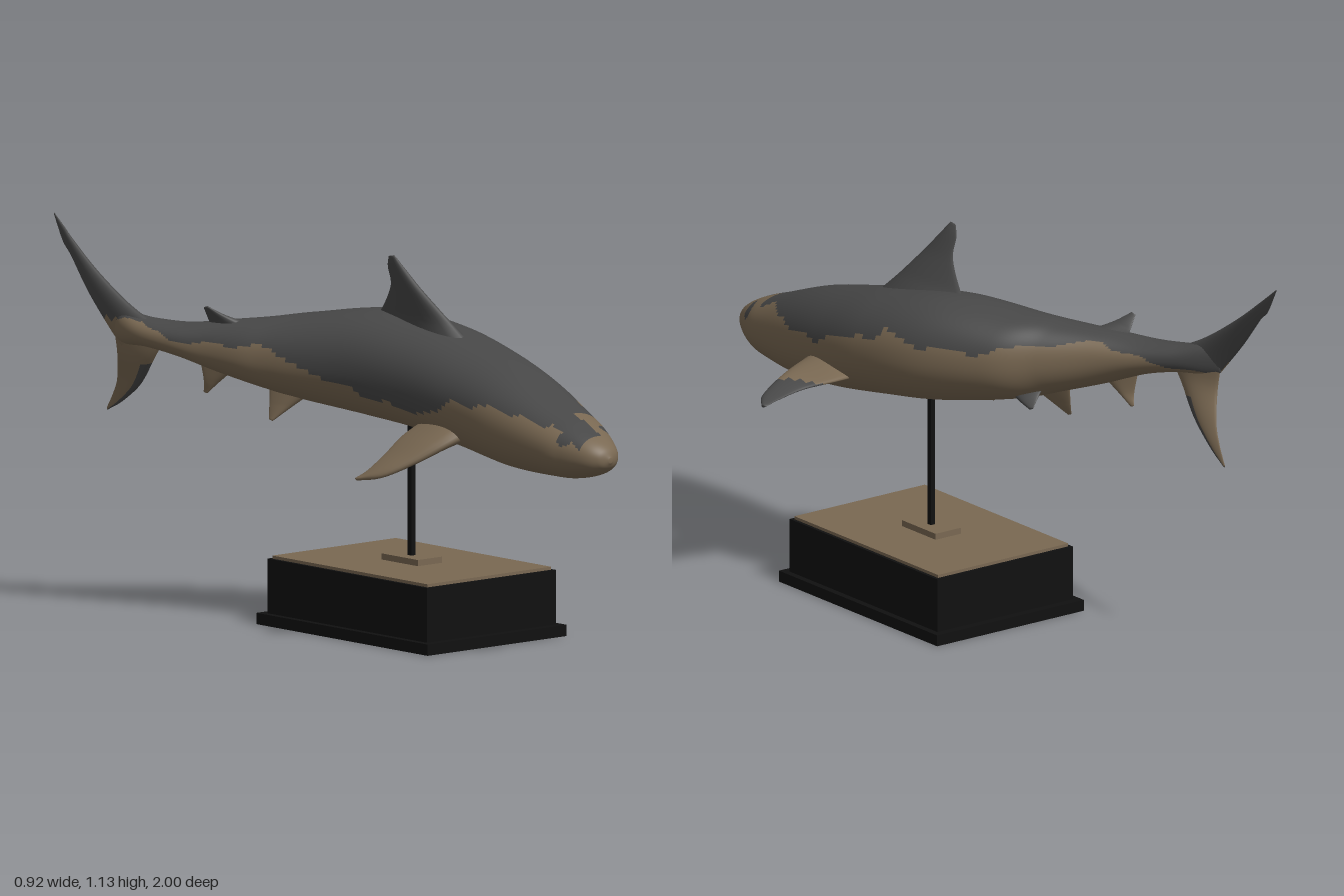
import * as THREE from 'three';

const V = (x, y, z) => new THREE.Vector3(x, y, z);
const makeMat = (name, color) => {
  const m = new THREE.MeshStandardMaterial({ color });
  m.name = name;
  return m;
};

// Skin a list of rings; pick(centre, ringIndex, pointIndex) is 0 or 1 for the material
function loft(name, rings, mats, pick) {
  const n = rings[0].length, pts = rings.flat(), faces = [[], []];
  let volume = 0;
  for (let i = 0; i < rings.length - 1; i++) {
    for (let j = 0; j < n; j++) {
      const k = (j + 1) % n;
      const a = i * n + j, b = a + n, c = i * n + k, d = c + n;
      const mid = V(0, 0, 0).add(pts[a]).add(pts[b]).add(pts[c]).add(pts[d]).divideScalar(4);
      faces[pick(mid, i, j)].push([a, b, c], [c, b, d]);
    }
  }
  const origin = pts[0];
  for (const [a, b, c] of faces.flat()) {
    const p = pts[a].clone().sub(origin), q = pts[b].clone().sub(origin), r = pts[c].clone().sub(origin);
    volume += p.dot(q.cross(r));
  }
  // Turn the faces outward
  const index = faces.map(f => f.flatMap(([a, b, c]) => (volume < 0 ? [a, c, b] : [a, b, c])));
  const geo = new THREE.BufferGeometry().setFromPoints(pts);
  geo.setIndex(index.flat());
  geo.addGroup(0, index[0].length, 0);
  geo.addGroup(index[0].length, index[1].length, 1);
  geo.computeVertexNormals();
  const mesh = new THREE.Mesh(geo, mats);
  mesh.name = name;
  return mesh;
}

// Fin from sections [leading xyz, trailing xyz, thickness], root to tip
function fin(name, sections, mats, pick) {
  const lead = new THREE.CatmullRomCurve3(sections.map(s => V(s[0], s[1], s[2])), false, 'catmullrom');
  const trail = new THREE.CatmullRomCurve3(sections.map(s => V(s[3], s[4], s[5])), false, 'catmullrom');
  const first = sections[0], last = sections[sections.length - 1];
  const chord = V(first[3] - first[0], first[4] - first[1], first[5] - first[2]);
  const span = V(last[0] - first[0], last[1] - first[1], last[2] - first[2]);
  const normal = chord.cross(span).normalize();
  const rings = [], N = 24, STEPS = 20;
  for (let i = 0; i <= STEPS; i++) {
    const t = i / STEPS, f = t * (sections.length - 1);
    const s = Math.min(Math.floor(f), sections.length - 2);
    const thick = THREE.MathUtils.lerp(sections[s][6], sections[s + 1][6], f - s);
    const a = lead.getPoint(t), b = trail.getPoint(t), ring = [];
    for (let j = 0; j < N; j++) {
      const ang = (j / N) * Math.PI * 2, u = (1 - Math.cos(ang)) / 2;
      ring.push(a.clone().lerp(b, u).addScaledVector(normal, Math.sin(ang) * (1.15 - 0.7 * u) * thick / 2));
    }
    rings.push(ring);
  }
  const tip = lead.getPoint(1).lerp(trail.getPoint(1), 0.5);
  rings.push(Array.from({ length: N }, () => tip.clone()));
  return loft(name, rings, mats, pick);
}

// Linear lookup in a list of [z, value] with falling z
function lookup(table, z) {
  for (let i = 0; i < table.length - 1; i++) {
    const [z0, v0] = table[i], [z1, v1] = table[i + 1];
    if (z >= z1) return THREE.MathUtils.lerp(v0, v1, THREE.MathUtils.clamp((z0 - z) / (z0 - z1), 0, 1));
  }
  return table[table.length - 1][1];
}

export function createModel() {
  const model = new THREE.Group();
  model.name = 'sharkOnStand';
  const grey = makeMat('darkGrey', 0x474747);
  const tan = makeMat('tan', 0x796852);
  const black = makeMat('black', 0x101010);
  const skin = [grey, tan];
  const allGrey = () => 0, allTan = () => 1;

  // Body: z, centre x, half width, top, bottom
  const body = [
    [1.0, -0.04, 0.006, 0.62, 0.605], [0.985, -0.04, 0.04, 0.647, 0.585], [0.95, -0.04, 0.068, 0.672, 0.565],
    [0.88, -0.033, 0.1, 0.705, 0.547], [0.8, -0.025, 0.125, 0.735, 0.54], [0.6, -0.005, 0.16, 0.81, 0.54],
    [0.4, 0.012, 0.178, 0.865, 0.565], [0.2, 0.008, 0.188, 0.91, 0.597], [0, -0.035, 0.185, 0.935, 0.622],
    [-0.2, -0.133, 0.162, 0.91, 0.658], [-0.3, -0.212, 0.128, 0.893, 0.69], [-0.4, -0.285, 0.095, 0.88, 0.725],
    [-0.5, -0.35, 0.078, 0.867, 0.765], [-0.6, -0.4, 0.058, 0.872, 0.787], [-0.68, -0.427, 0.03, 0.885, 0.79],
    [-0.73, -0.433, 0.004, 0.87, 0.81],
  ];
  const plan = new THREE.CatmullRomCurve3(body.map(s => V(s[0], s[1], s[2])), false, 'catmullrom');
  const side = new THREE.CatmullRomCurve3(body.map(s => V(s[0], s[3], s[4])), false, 'catmullrom');
  const rings = [], STATIONS = 180, AROUND = 72;
  const squarish = v => Math.sign(v) * Math.abs(v) ** 0.93;
  for (let i = 0; i <= STATIONS; i++) {
    const p = plan.getPoint(i / STATIONS), s = side.getPoint(i / STATIONS), ring = [];
    for (let j = 0; j < AROUND; j++) {
      const a = (j / AROUND) * Math.PI * 2;
      ring.push(V(p.y + p.z * squarish(Math.cos(a)), (s.y + s.z) / 2 + (s.y - s.z) / 2 * squarish(Math.sin(a)), p.x));
    }
    rings.push(ring);
  }
  for (const ring of [rings[0], rings[STATIONS]]) {
    const c = ring[0].clone().lerp(ring[AROUND / 2], 0.5);
    const cap = ring.map(() => c.clone());
    if (ring === rings[0]) rings.unshift(cap); else rings.push(cap);
  }
  // Height where the grey back meets the tan belly, on each flank
  const leftLine = [[0.82, 0.71], [0.7, 0.745], [0.57, 0.73], [0.4, 0.74], [0.3, 0.77], [0.22, 0.8], [0.12, 0.81],
    [0.09, 0.855], [0.05, 0.83], [0, 0.82], [-0.18, 0.82], [-0.29, 0.845], [-0.42, 0.86], [-0.55, 0.82], [-0.66, 0.8]];
  const rightLine = [[0.82, 0.7], [0.6, 0.73], [0.45, 0.73], [0.3, 0.67], [0.1, 0.7], [-0.1, 0.76],
    [-0.2, 0.82], [-0.4, 0.82], [-0.5, 0.82], [-0.6, 0.87], [-0.7, 0.86]];
  model.add(loft('body', rings, skin, p => {
    const centre = lookup(body, p.z);
    if (Math.hypot(p.z - 0.885, p.y - 0.672) < 0.022) return 0; // eyes
    if (p.z > 0.82) return p.x > -0.11 && p.x < -0.025 && p.z < 0.94 && p.y > 0.6 ? 0 : 1;
    const line = lookup(p.x > centre ? leftLine : rightLine, p.z) + 0.006 * Math.sin(p.z * 45);
    return p.y > line ? 0 : 1;
  }));

  // Back fins
  model.add(fin('dorsalFin', [
    [-0.01, 0.87, 0.33, -0.04, 0.9, -0.05, 0.1],
    [-0.03, 0.935, 0.265, -0.055, 0.935, 0.01, 0.06],
    [-0.07, 1.016, 0.2, -0.075, 1.016, 0.075, 0.036],
    [-0.095, 1.085, 0.145, -0.095, 1.075, 0.085, 0.02],
    [-0.105, 1.112, 0.125, -0.105, 1.108, 0.1, 0.008],
  ], skin, allGrey));
  model.add(fin('secondDorsalFin', [
    [-0.25, 0.86, -0.31, -0.32, 0.855, -0.43, 0.05],
    [-0.315, 0.895, -0.37, -0.335, 0.885, -0.43, 0.022],
    [-0.358, 0.925, -0.405, -0.36, 0.92, -0.42, 0.006],
  ], skin, allGrey));

  // Chest fins
  model.add(fin('leftPectoralFin', [
    [0.12, 0.66, 0.46, 0.12, 0.66, 0.25, 0.1],
    [0.21, 0.665, 0.425, 0.22, 0.66, 0.245, 0.055],
    [0.32, 0.655, 0.38, 0.31, 0.645, 0.28, 0.036],
    [0.42, 0.632, 0.335, 0.4, 0.632, 0.28, 0.022],
    [0.458, 0.622, 0.29, 0.452, 0.622, 0.276, 0.01],
  ], skin, p => (p.x > 0.27 + (p.z - 0.27) * 0.78 ? 0 : 1)));
  model.add(fin('rightPectoralFin', [
    [-0.08, 0.64, 0.46, -0.08, 0.65, 0.25, 0.09],
    [-0.17, 0.6, 0.43, -0.18, 0.61, 0.25, 0.055],
    [-0.25, 0.55, 0.375, -0.26, 0.56, 0.255, 0.036],
    [-0.315, 0.51, 0.31, -0.315, 0.52, 0.245, 0.022],
    [-0.345, 0.495, 0.235, -0.34, 0.497, 0.22, 0.01],
  ], skin, allTan));

  // Belly fins
  model.add(fin('rightPelvicFin', [
    [-0.17, 0.69, -0.15, -0.22, 0.7, -0.29, 0.05],
    [-0.21, 0.64, -0.205, -0.235, 0.64, -0.275, 0.025],
    [-0.245, 0.596, -0.25, -0.246, 0.6, -0.265, 0.008],
  ], skin, allTan));
  model.add(fin('leftPelvicFin', [
    [-0.08, 0.71, -0.16, -0.14, 0.72, -0.28, 0.05],
    [-0.075, 0.675, -0.22, -0.11, 0.685, -0.285, 0.025],
    [-0.075, 0.655, -0.285, -0.08, 0.66, -0.3, 0.008],
  ], skin, allGrey));
  model.add(fin('analFin', [
    [-0.28, 0.74, -0.37, -0.33, 0.76, -0.47, 0.04],
    [-0.3, 0.695, -0.42, -0.325, 0.7, -0.46, 0.02],
    [-0.315, 0.66, -0.455, -0.318, 0.663, -0.468, 0.006],
  ], skin, allTan));

  // Tail
  model.add(fin('upperTailLobe', [
    [-0.405, 0.85, -0.56, -0.43, 0.78, -0.7, 0.06],
    [-0.425, 0.905, -0.67, -0.438, 0.83, -0.745, 0.045],
    [-0.437, 0.99, -0.8, -0.444, 0.925, -0.83, 0.032],
    [-0.436, 1.07, -0.91, -0.436, 1.02, -0.915, 0.02],
    [-0.43, 1.1, -0.953, -0.43, 1.055, -0.957, 0.013],
    [-0.427, 1.135, -1.0, -0.427, 1.125, -0.998, 0.004],
  ], skin, p => (p.y < 0.82 + (p.x < -0.435 ? 0.04 : 0) ? 1 : 0)));
  model.add(fin('lowerTailLobe', [
    [-0.39, 0.82, -0.55, -0.435, 0.84, -0.73, 0.05],
    [-0.395, 0.755, -0.595, -0.425, 0.755, -0.725, 0.042],
    [-0.385, 0.67, -0.665, -0.39, 0.675, -0.765, 0.03],
    [-0.368, 0.605, -0.765, -0.37, 0.625, -0.805, 0.018],
    [-0.356, 0.568, -0.845, -0.356, 0.576, -0.848, 0.006],
  ], skin, (p, i, j) => (p.y < 0.73 && (j < 4 || j > 19) ? 0 : 1)));

  // Stand, with a hollow base open below
  const stand = new THREE.Group();
  stand.name = 'stand';
  stand.position.set(-0.008, 0, 0.09);
  const box = (name, w, h, d, y, mat) => {
    const m = new THREE.Mesh(new THREE.BoxGeometry(w, h, d), mat);
    m.name = name;
    m.position.y = y + h / 2;
    stand.add(m);
  };
  const frame = (name, w, d, h, y) => {
    const rect = (T, a, b) => new T([V(-a, -b, 0), V(a, -b, 0), V(a, b, 0), V(-a, b, 0)]);
    const shape = rect(THREE.Shape, w / 2, d / 2);
    shape.holes.push(rect(THREE.Path, 0.21, 0.31));
    const geo = new THREE.ExtrudeGeometry(shape, { depth: h, bevelEnabled: false }).rotateX(-Math.PI / 2);
    const m = new THREE.Mesh(geo, black);
    m.name = name;
    m.position.y = y;
    stand.add(m);
  };
  frame('plinth', 0.535, 0.75, 0.033, 0);
  frame('baseWalls', 0.495, 0.7, 0.16, 0.033);
  box('baseTop', 0.475, 0.014, 0.68, 0.188, tan);
  box('polePlate', 0.092, 0.018, 0.16, 0.202, tan);
  box('pole', 0.016, 0.56, 0.016, 0.1, black);
  model.add(stand);
  return model;
}
